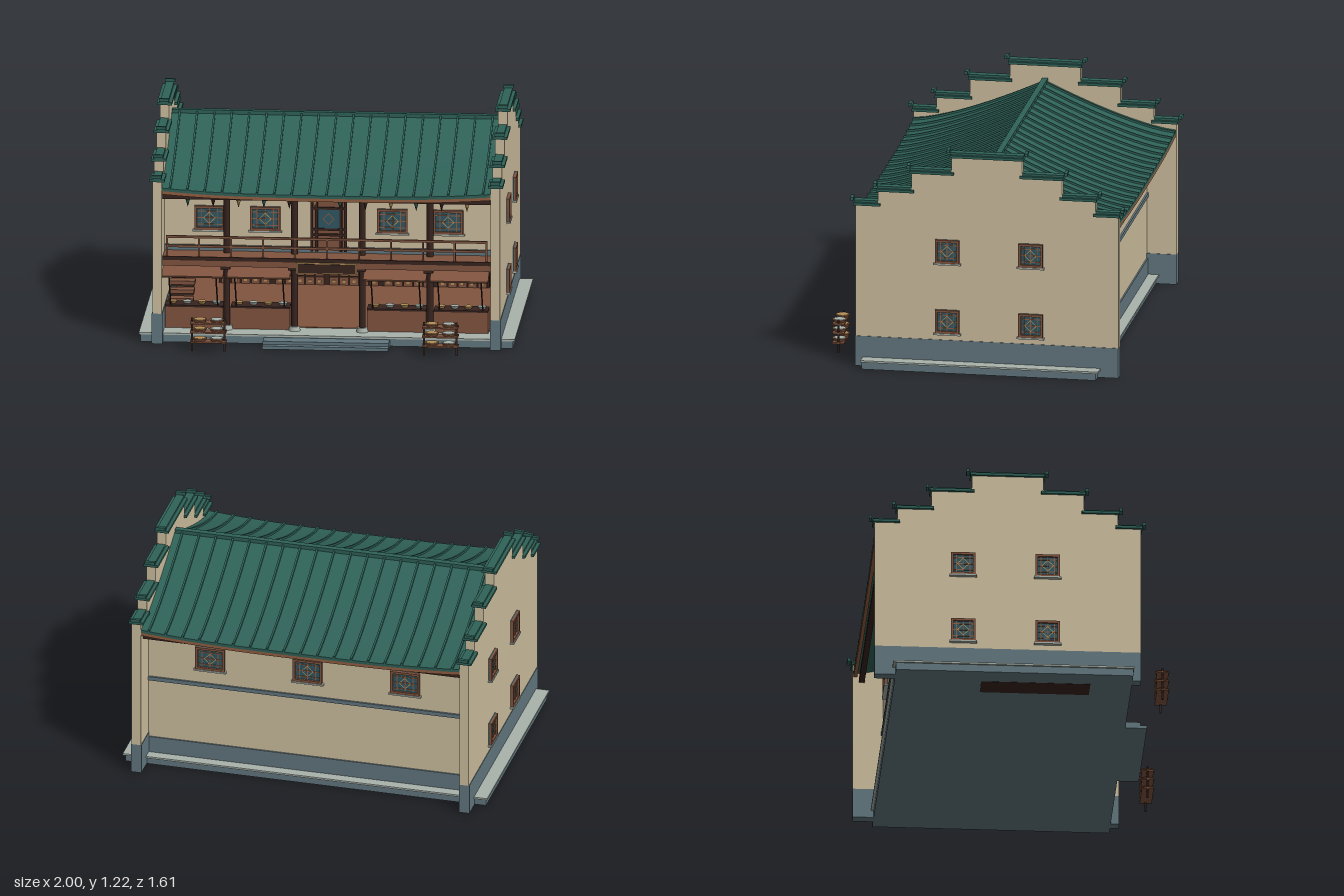
import * as THREE from 'three';
import { mergeGeometries } from 'three/addons/utils/BufferGeometryUtils.js';

const paint = (name, color) => Object.assign(new THREE.MeshStandardMaterial({ color }), { name });

export function createModel() {
  const green = paint('roof green', 0x2f6258), cream = paint('cream plaster', 0xcfc0a0);
  const slate = paint('slate blue', 0x637880), pale = paint('pale stone', 0xa9b3ab);
  const wood = paint('brown wood', 0x80543f), dark = paint('dark wood', 0x38241f);
  const copper = paint('light brown wood', 0x935f42), gold = paint('straw gold', 0xb48f58);
  const glass = paint('teal glass', 0x2f5763);
  const model = new THREE.Group();
  model.name = 'steppedGableShop';

  const add = (parent, name, geo, mat, x = 0, y = 0, z = 0) => {
    const m = new THREE.Mesh(geo, mat);
    m.name = name;
    m.position.set(x, y, z);
    parent.add(m);
    return m;
  };
  const group = (name, parent = model, x = 0, y = 0, z = 0) => {
    const g = new THREE.Group();
    g.name = name;
    g.position.set(x, y, z);
    parent.add(g);
    return g;
  };
  // box given by its limits
  const block = (p, name, mat, x0, x1, y0, y1, z0, z1) =>
    add(p, name, new THREE.BoxGeometry(x1 - x0, y1 - y0, z1 - z0), mat, (x0 + x1) / 2, (y0 + y1) / 2, (z0 + z1) / 2);
  // thin square bar between two points
  const bar = (p, name, mat, a, b, t) => {
    const A = new THREE.Vector3(...a), B = new THREE.Vector3(...b);
    const m = add(p, name, new THREE.BoxGeometry(t, t, A.distanceTo(B)), mat);
    m.position.copy(A).add(B).multiplyScalar(0.5);
    m.lookAt(B);
    return m;
  };

  // foundation and steps
  block(model, 'foundation', slate, -0.99, 0.99, 0, 0.04, -0.66, 0.6);
  block(model, 'foundationSlab', pale, -1, 1, 0.04, 0.05, -0.675, 0.605);
  block(model, 'upperStep', slate, -0.335, 0.335, 0, 0.035, 0.6, 0.68);
  block(model, 'lowerStep', slate, -0.335, 0.335, 0, 0.018, 0.6, 0.715);
  block(model, 'shopFloor', wood, -0.875, 0.875, 0.05, 0.054, -0.58, 0.44);

  // stepped gable walls with tiled caps and upturned horns
  const MID = -0.063;
  const tiers = [[0.708, 0.888], [0.585, 0.97], [0.405, 1.078], [0.19, 1.175]]; // half depth, top
  const outline = new THREE.Shape();
  const side = [[0.708, 0.165]];
  tiers.forEach(([h, y], i) => {
    side.push([h, y]);
    if (i < 3) side.push([tiers[i + 1][0], y]);
  });
  outline.setFromPoints([...side, ...side.map(([h, y]) => [-h, y]).reverse()].map(p => new THREE.Vector2(...p)));
  for (const s of [-1, 1]) {
    const gable = group('gableWall', model, s * 0.9, 0, MID);
    const wall = add(gable, 'wall', new THREE.ExtrudeGeometry(outline, { depth: 0.05, bevelEnabled: false }), cream, 0.025);
    wall.rotation.y = -Math.PI / 2;
    block(gable, 'wallBase', slate, -0.028, 0.028, 0, 0.165, -0.708, 0.708);
    tiers.forEach(([h, y], i) => {
      const inner = i < 3 ? tiers[i + 1][0] - 0.012 : -h - 0.008;
      for (const f of i < 3 ? [1, -1] : [1]) {
        const z0 = Math.min(f * inner, f * (h + 0.008)), z1 = Math.max(f * inner, f * (h + 0.008));
        block(gable, 'cap', green, -0.04, 0.04, y, y + 0.014, z0, z1);
        block(gable, 'capRidge', green, -0.022, 0.022, y + 0.014, y + 0.026, z0, z1);
      }
      for (const f of [1, -1])
        bar(gable, 'horn', green, [0, y + 0.014, f * h], [0, y + 0.05, f * (h + 0.04)], 0.017);
    });
  }

  // curved roof: both slopes share one bending rule, z runs from ridge to eave
  const RUN = 0.705;
  const bend = geo => {
    const p = geo.attributes.position;
    for (let i = 0; i < p.count; i++) {
      const s = Math.max(0, 1 - p.getZ(i) / RUN), e = Math.abs(p.getX(i) / 0.87) ** 3;
      p.setY(i, p.getY(i) + 0.82 + 0.265 * s ** 1.35 + 0.025 * e * (1 - s));
    }
    geo.computeVertexNormals();
    return geo;
  };
  for (const s of [1, -1]) {
    const slope = group(s > 0 ? 'frontRoof' : 'backRoof', model, 0, 0, MID);
    if (s < 0) slope.rotation.y = Math.PI;
    add(slope, 'tiles', bend(new THREE.BoxGeometry(1.75, 0.016, RUN, 20, 1, 12).translate(0, 0, RUN / 2)), green);
    add(slope, 'eaveTrim', bend(new THREE.BoxGeometry(1.75, 0.018, 0.02, 20, 1, 1).translate(0, -0.017, RUN - 0.011)), copper);
    const ribs = [];
    for (let i = -9; i <= 9; i++)
      ribs.push(bend(new THREE.BoxGeometry(0.01, 0.014, RUN, 1, 1, 12).translate(i * 0.0925, 0.012, RUN / 2)));
    add(slope, 'roofRibs', mergeGeometries(ribs), green);
    block(slope, 'eaveBeam', dark, -0.873, 0.873, 0.787, 0.81, RUN - 0.06, RUN - 0.03);
  }
  block(model, 'roofRidge', green, -0.873, 0.873, 1.075, 1.106, MID - 0.016, MID + 0.016);

  // outer walls
  block(model, 'backWall', cream, -0.875, 0.875, 0.14, 0.86, -0.61, -0.58);
  block(model, 'backWallBase', slate, -0.875, 0.875, 0.05, 0.14, -0.618, -0.58);
  block(model, 'backBand', slate, -0.875, 0.875, 0.478, 0.5, -0.62, -0.61);
  block(model, 'frontUpperWall', cream, -0.875, 0.875, 0.47, 0.86, 0.42, 0.455);
  block(model, 'frontBand', slate, -0.875, 0.875, 0.47, 0.5, 0.455, 0.465);

  // lattice windows, built facing +z
  const windowAt = (x, y, z, turn, w, h) => {
    const g = group('latticeWindow', model, x, y, z);
    g.rotation.y = turn;
    const a = w / 2, b = h / 2, t = 0.013;
    block(g, 'glass', glass, -a, a, -b, b, 0, 0.006);
    for (const s of [-1, 1]) {
      add(g, 'frameSide', new THREE.BoxGeometry(t, h, 0.018), wood, s * (a - t / 2), 0, 0.009);
      add(g, 'frameRail', new THREE.BoxGeometry(w, t, 0.018), wood, 0, s * (b - t / 2), 0.009);
      add(g, 'latticeUpright', new THREE.BoxGeometry(0.004, h, 0.004), copper, s * a * 0.55, 0, 0.009);
      add(g, 'latticeRail', new THREE.BoxGeometry(w, 0.004, 0.004), copper, 0, s * b * 0.55, 0.009);
    }
    add(g, 'crossUpright', new THREE.BoxGeometry(0.004, h, 0.004), copper, 0, 0, 0.009);
    add(g, 'crossRail', new THREE.BoxGeometry(w, 0.004, 0.004), copper, 0, 0, 0.009);
    add(g, 'diamond', new THREE.RingGeometry(0.028, 0.034, 4), gold, 0, 0, 0.0125);
    block(g, 'sill', pale, -a - 0.008, a + 0.008, -b - 0.009, -b, 0, 0.022);
  };
  for (const x of [-0.635, -0.338, 0.338, 0.635]) windowAt(x, 0.65, 0.455, 0, 0.16, 0.13);
  for (const x of [-0.535, 0, 0.535]) windowAt(x, 0.65, -0.61, Math.PI, 0.16, 0.13);
  for (const s of [-1, 1])
    for (const z of [0.149, -0.3])
      for (const y of [0.655, 0.268]) windowAt(s * 0.925, y, z, s * Math.PI / 2, 0.13, 0.128);

  // balcony door
  const door = group('balconyDoor', model, 0, 0, 0.455);
  block(door, 'doorLeaf', wood, -0.095, 0.095, 0.48, 0.77, 0, 0.012);
  block(door, 'doorGlass', glass, -0.06, 0.06, 0.605, 0.71, 0.012, 0.017);
  for (const x of [-0.09, 0.09, -0.065, 0.065]) block(door, 'doorPost', dark, x - 0.007, x + 0.007, 0.48, 0.77, 0, 0.024);
  for (const y of [0.57, 0.6, 0.715, 0.765]) block(door, 'doorRail', dark, -0.095, 0.095, y - 0.006, y + 0.006, 0, 0.022);
  add(door, 'doorDiamond', new THREE.RingGeometry(0.026, 0.032, 4), copper, 0, 0.657, 0.018);

  // balcony with railing
  const balcony = group('balcony');
  block(balcony, 'balconyFloor', wood, -0.873, 0.873, 0.445, 0.47, -0.58, 0.6);
  block(balcony, 'frontBeam', dark, -0.873, 0.873, 0.452, 0.472, 0.6, 0.612);
  block(balcony, 'lowerBeam', wood, -0.873, 0.873, 0.42, 0.452, 0.585, 0.607);
  for (const y of [0.578, 0.527]) block(balcony, 'handrail', wood, -0.855, 0.855, y - 0.006, y + 0.006, 0.59, 0.604);
  for (let i = 0; i <= 10; i++) {
    const x = -0.85 + i * 0.17;
    block(balcony, 'railPost', wood, x - 0.005, x + 0.005, 0.47, 0.58, 0.592, 0.602);
  }

  // columns on stone bases
  for (const x of [-0.54, -0.18, 0.18, 0.54]) {
    add(model, 'column', new THREE.CylinderGeometry(0.018, 0.018, 0.77, 12), dark, x, 0.435, 0.495);
    add(model, 'columnBase', new THREE.CylinderGeometry(0.026, 0.032, 0.024, 12), pale, x, 0.062, 0.495);
    block(model, 'columnBracket', dark, x - 0.025, x + 0.025, 0.405, 0.45, 0.47, 0.606);
  }

  // blank sign board
  block(model, 'signFrame', gold, -0.162, 0.162, 0.392, 0.452, 0.607, 0.618);
  block(model, 'signBoard', dark, -0.155, 0.155, 0.398, 0.446, 0.612, 0.622);

  // counters with goods and propped shutters
  for (const [x0, x1] of [[-0.87, -0.56], [-0.52, -0.205], [0.205, 0.52], [0.56, 0.85]]) {
    const bay = group('shopBay');
    block(bay, 'counter', wood, x0, x1, 0.05, 0.165, 0.4, 0.49);
    block(bay, 'counterTop', dark, x0, x1, 0.165, 0.175, 0.395, 0.495);
    for (let i = 0; i < 4; i++) {
      const x = x0 + (x1 - x0) * (i + 0.5) / 4;
      add(bay, 'bowl', new THREE.CylinderGeometry(0.024, 0.017, 0.014, 12), i % 2 ? pale : gold, x, 0.182, 0.445);
    }
    const flap = add(bay, 'shutter', new THREE.BoxGeometry(x1 - x0 + 0.02, 0.01, 0.15), wood, (x0 + x1) / 2, 0.394, 0.565);
    flap.rotation.x = 0.37;
    for (const x of [x0 + 0.03, x1 - 0.03]) bar(bay, 'prop', dark, [x, 0.175, 0.48], [x, 0.372, 0.61], 0.007);
  }

  // wall of medicine drawers
  const cabinet = group('drawerCabinet', model, -0.655, 0.05, -0.45);
  block(cabinet, 'cabinetBody', dark, 0, 1.44, 0, 0.3, -0.12, 0);
  const fronts = [], knobs = [];
  for (let u = 0; u < 5; u++) {
    for (let c = 0; c < 5; c++)
      for (let r = 0; r < 6; r++) {
        const x = u * 0.288 + 0.038 + c * 0.053, y = 0.027 + r * 0.049;
        fronts.push(new THREE.BoxGeometry(0.047, 0.042, 0.012).translate(x, y, 0.006));
        knobs.push(new THREE.BoxGeometry(0.016, 0.013, 0.006).translate(x, y, 0.015));
      }
  }
  add(cabinet, 'drawerFronts', mergeGeometries(fronts), wood);
  add(cabinet, 'drawerKnobs', mergeGeometries(knobs), gold);
  const jar = [[0, 0], [0.015, 0], [0.024, 0.018], [0.021, 0.032], [0.011, 0.037], [0.013, 0.042], [0, 0.042]].map(p => new THREE.Vector2(...p));
  [-0.125, -0.035, 0.03, 0.1].forEach((x, i) =>
    add(cabinet, 'jar', new THREE.LatheGeometry(jar, 14), i === 1 ? copper : green, x + 0.655, 0.3, -0.05));
  block(model, 'sideCupboard', dark, 0.805, 0.865, 0.05, 0.32, -0.5, -0.4);

  // inner staircase
  const stairs = group('staircase');
  block(stairs, 'stairFoot', dark, -0.87, -0.735, -0.001, 0.004, -0.2, 0.38);
  for (let i = 0; i < 11; i++) {
    const y = 0.085 + i * 0.034, z = 0.38 - i * 0.053;
    block(stairs, 'tread', wood, -0.87, -0.735, y - 0.02, y, z - 0.06, z);
    block(stairs, 'riser', dark, -0.865, -0.74, y - 0.034, y - 0.018, z - 0.06, z - 0.012);
  }

  // pennants under the front eave
  for (let i = 0; i < 12; i++) {
    const p = add(model, 'pennant', new THREE.ConeGeometry(0.015, 0.055, 8), [green, dark, gold][i % 3], -0.742 + i * 0.135, 0.762, 0.57);
    p.rotation.x = Math.PI;
  }

  // drying stands with baskets
  for (const s of [-1, 1]) {
    const stand = group('dryingStand', model, s * 0.617, 0, 0.775);
    for (const x of [-0.086, 0.086]) block(stand, 'standPost', dark, x - 0.005, x + 0.005, 0, 0.182, -0.005, 0.005);
    for (const y of [0.055, 0.108, 0.158]) {
      block(stand, 'shelf', wood, -0.096, 0.096, y - 0.005, y + 0.003, -0.032, 0.032);
      [-0.045, 0.045].forEach((x, i) => {
        add(stand, 'basket', new THREE.CylinderGeometry(0.039, 0.03, 0.014, 16), copper, x, y + 0.01, 0);
        add(stand, 'herbs', new THREE.CylinderGeometry(0.032, 0.032, 0.005, 16), i ? pale : gold, x, y + 0.017, 0);
      });
    }
  }
  return model;
}
